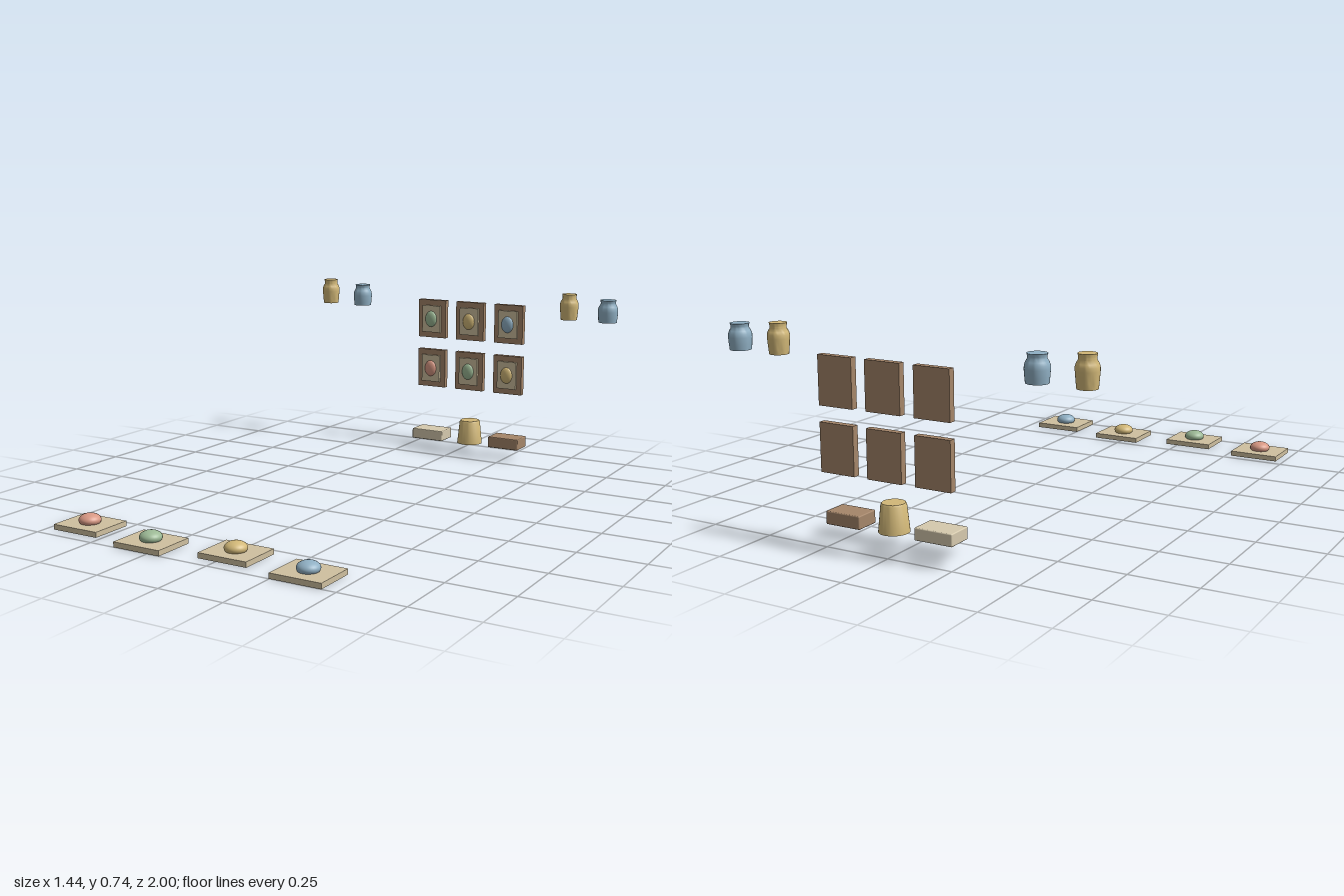
import * as THREE from 'three';
import { toCreasedNormals } from 'three/addons/utils/BufferGeometryUtils.js';
import { RoundedBoxGeometry } from 'three/addons/geometries/RoundedBoxGeometry.js';

const flat = (name, color) => {
  const m = new THREE.MeshStandardMaterial({ color });
  m.name = name;
  return m;
};

export function createModel() {
  const model = new THREE.Group();
  model.name = 'shopDisplay';

  const parchment = flat('parchment', 0xcfc0a0);
  const cream = flat('cream', 0xd6caae);
  const wood = flat('wood', 0xa5866a);
  const gold = flat('gold', 0xd2b878);
  const blue = flat('blue', 0x90b0c4);
  const green = flat('green', 0x9cb995);
  const pink = flat('pink', 0xd89884);

  const add = (parent, name, geometry, material, x, y, z) => {
    const mesh = new THREE.Mesh(geometry, material);
    mesh.name = name;
    mesh.position.set(x, y, z);
    parent.add(mesh);
    return mesh;
  };
  const group = (name, x, y, z) => {
    const g = new THREE.Group();
    g.name = name;
    g.position.set(x, y, z);
    model.add(g);
    return g;
  };
  // Turned shape from [radius, height] pairs, bottom to top
  const turned = (profile) => toCreasedNormals(
    new THREE.LatheGeometry(profile.map(([r, y]) => new THREE.Vector2(r, y)), 32), 0.7);
  const ball = new THREE.SphereGeometry(1, 32, 20);

  // Floor trays, each with a rounded sample on top
  const trayGeo = new THREE.BoxGeometry(0.198, 0.02, 0.164);
  const trays = [
    [-0.62, 0.867, pink], [-0.298, 0.918, green],
    [0.025, 0.867, gold], [0.347, 0.918, blue],
  ];
  for (const [x, z, material] of trays) {
    const tray = group('tray', x, 0, z);
    add(tray, 'trayBoard', trayGeo, parchment, 0, 0.01, 0);
    add(tray, 'traySample', ball, material, 0, 0.031, 0).scale.set(0.041, 0.024, 0.041);
  }

  // Wall pictures: frame, raised mat and oval medallion
  const frameGeo = new THREE.BoxGeometry(0.136, 0.172, 0.026);
  const matGeo = new THREE.BoxGeometry(0.09, 0.122, 0.012);
  const pictures = [
    [0.575, [green, gold, blue]],
    [0.347, [pink, green, gold]],
  ];
  for (const [y, row] of pictures) {
    row.forEach((material, i) => {
      const picture = group('picture', -0.183 + i * 0.189, y, -1);
      add(picture, 'pictureFrame', frameGeo, wood, 0, 0, 0.013);
      add(picture, 'pictureMat', matGeo, parchment, 0, 0, 0.031);
      add(picture, 'medallion', ball, material, 0, 0, 0.037).scale.set(0.028, 0.036, 0.014);
    });
  }

  // Jars: a tall gold and a squat blue one on each side
  const tallJar = turned([[0, 0], [0.034, 0], [0.036, 0.02], [0.039, 0.055], [0.039, 0.068],
    [0.036, 0.078], [0.029, 0.09], [0.029, 0.097], [0.031, 0.109], [0, 0.109]]);
  const squatJar = turned([[0, 0], [0.038, 0], [0.04, 0.02], [0.042, 0.045], [0.041, 0.058],
    [0.037, 0.068], [0.031, 0.078], [0.031, 0.084], [0.034, 0.094], [0, 0.094]]);
  for (const x of [-0.682, 0.503]) {
    add(model, 'tallJar', tallJar, gold, x, 0.626, -0.906);
    add(model, 'squatJar', squatJar, blue, x + 0.172, 0.626, -0.906);
  }

  // Counter goods: parcel, tapered pot and wooden case
  const pot = turned([[0, 0], [0.055, 0], [0.045, 0.096], [0.041, 0.103], [0, 0.103]]);
  add(model, 'parcel', new RoundedBoxGeometry(0.149, 0.045, 0.099, 2, 0.004), cream, -0.123, 0.069, -0.867);
  add(model, 'pot', pot, gold, 0.066, 0.046, -0.867);
  add(model, 'woodenCase', new RoundedBoxGeometry(0.141, 0.048, 0.095, 2, 0.004), wood, 0.246, 0.07, -0.87);

  return model;
}
